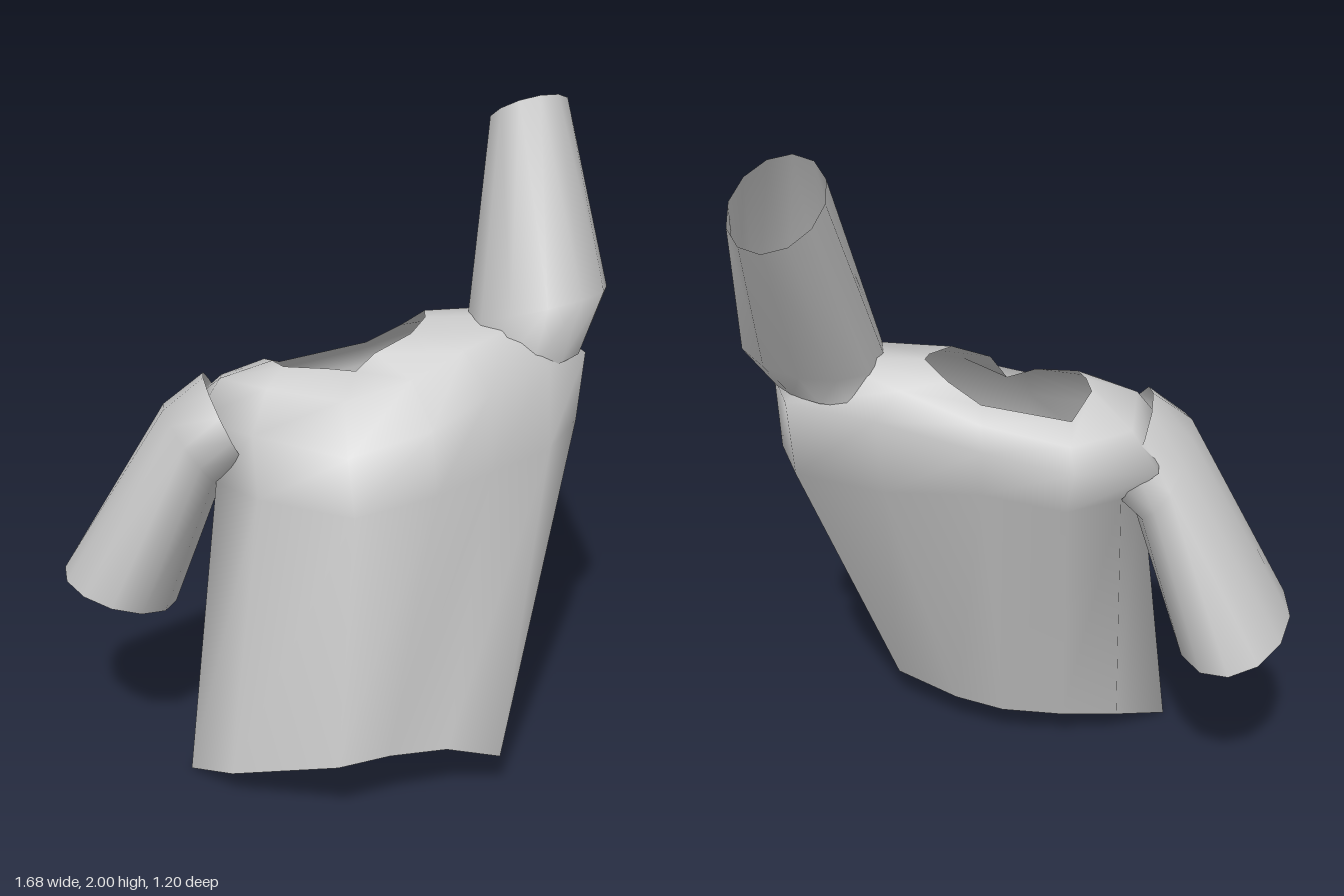
import * as THREE from 'three';

const SIDES = 12;

// Skins a list of closed rings (each an array of [x, y, z]) as a smooth open tube.
function loft(name, rings, material) {
  const n = rings[0].length;
  const index = [];
  for (let i = 0; i < rings.length - 1; i++) {
    for (let j = 0; j < n; j++) {
      const a = i * n + j, b = i * n + (j + 1) % n;
      index.push(a, a + n, b, b, a + n, b + n);
    }
  }
  const geometry = new THREE.BufferGeometry();
  geometry.setAttribute('position', new THREE.Float32BufferAttribute(rings.flat(2), 3));
  geometry.setIndex(index);
  geometry.computeVertexNormals();
  const mesh = new THREE.Mesh(geometry, material);
  mesh.name = name;
  return mesh;
}

// Tilted ellipse: centre plus two half-axis vectors.
function ellipse(c, u, v) {
  return Array.from({ length: SIDES }, (_, j) => {
    const t = (j / SIDES) * Math.PI * 2;
    return c.map((value, k) => value + u[k] * Math.cos(t) + v[k] * Math.sin(t));
  });
}

export function createModel() {
  const group = new THREE.Group();
  group.name = 'shirt';
  const cloth = new THREE.MeshStandardMaterial({ color: 0xc8c8c8, side: THREE.DoubleSide });
  cloth.name = 'greyCloth';

  // Torso rings run from the left side round the front, right side and back.
  const hem = [
    [0.23, 0.11, 0.39], [0.21, 0.113, 0.5], [0.16, 0.12, 0.6], [0, 0.165, 0.55],
    [-0.18, 0.18, 0.52], [-0.35, 0.185, 0.51], [-0.55, 0.08, 0.22], [-0.58, 0, 0],
    [-0.38, 0.07, -0.06], [-0.2, 0.09, -0.03], [-0.02, 0.1, 0.05], [0.1, 0.105, 0.17],
  ];
  const chest = [
    [0.61, 1.0, 0.16], [0.61, 1.03, 0.32], [0.43, 1.0, 0.43], [0.2, 0.98, 0.46],
    [0, 0.95, 0.475], [-0.25, 0.92, 0.43], [-0.42, 0.92, 0.17], [-0.46, 0.92, -0.02],
    [-0.29, 0.95, -0.25], [-0.1, 0.95, -0.28], [0.13, 1.0, -0.18], [0.4, 1.0, -0.06],
  ];
  const shoulder = [
    [0.64, 1.25, 0.12], [0.62, 1.25, 0.34], [0.44, 1.25, 0.4], [0.22, 1.2, 0.41],
    [0.02, 1.13, 0.42], [-0.23, 1.07, 0.36], [-0.41, 1.1, 0.12], [-0.5, 1.11, -0.07],
    [-0.36, 1.07, -0.36], [-0.11, 1.08, -0.31], [0.13, 1.14, -0.19], [0.42, 1.23, -0.06],
  ];
  const yoke = [
    [0.5, 1.37, 0.15], [0.45, 1.37, 0.24], [0.35, 1.35, 0.3], [0.2, 1.31, 0.3],
    [0.02, 1.25, 0.3], [-0.17, 1.2, 0.24], [-0.34, 1.22, 0.08], [-0.41, 1.22, -0.08],
    [-0.32, 1.17, -0.25], [-0.12, 1.15, -0.26], [0.12, 1.21, -0.15], [0.33, 1.3, -0.02],
  ];
  const collar = [
    [0.23, 1.365, 0.04], [0.2, 1.36, 0.09], [0.1, 1.345, 0.17], [-0.02, 1.3, 0.16],
    [-0.06, 1.24, 0.12], [-0.15, 1.26, 0.11], [-0.26, 1.265, 0.04], [-0.26, 1.265, -0.03],
    [-0.25, 1.25, -0.1], [-0.15, 1.2, -0.19], [0.1, 1.25, -0.09], [0.18, 1.31, -0.02],
  ];
  group.add(loft('torso', [hem, chest, shoulder, yoke, collar], cloth));

  // Left sleeve, raised up and back
  group.add(loft('leftSleeve', [
    ellipse([0.48, 1.25, 0.21], [0.16, 0.02, 0.01], [0.01, 0, 0.18]),
    ellipse([0.525, 1.39, 0.215], [0.22, 0.02, -0.02], [0.02, 0.05, 0.195]),
    ellipse([0.68, 1.918, -0.075], [0.13, 0.01, 0.02], [-0.095, 0.081, 0.19]),
  ], cloth));

  // Right sleeve, hanging down and back
  group.add(loft('rightSleeve', [
    ellipse([-0.38, 1.08, -0.11], [-0.07, 0.14, 0], [-0.08, 0, 0.2]),
    ellipse([-0.47, 1.0, -0.16], [-0.1, 0.13, 0.02], [-0.07, 0, 0.2]),
    ellipse([-0.645, 0.508, -0.34], [-0.19, 0.063, 0.03], [-0.045, 0.01, 0.258]),
  ], cloth));

  return group;
}
